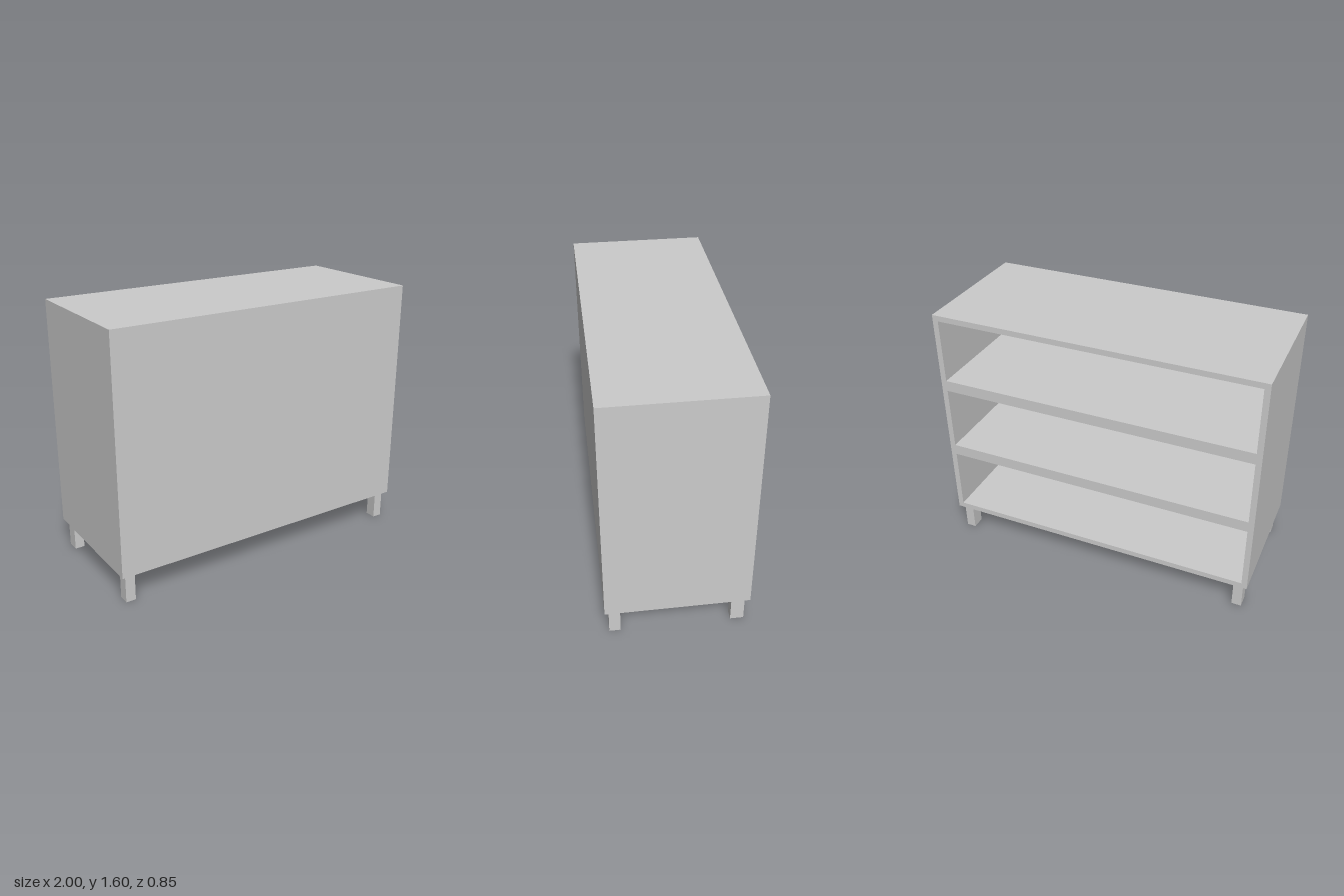
import * as THREE from 'three';

const W = 2, D = 0.85, BOTTOM = 0.175, TOP = 1.595, WALL = 0.035;

export function createModel() {
  const group = new THREE.Group();
  const material = new THREE.MeshStandardMaterial({ color: 0xcccccc, flatShading: true });

  const add = (name, geometry, x, y, z) => {
    const mesh = new THREE.Mesh(geometry, material);
    mesh.name = name;
    mesh.position.set(x, y, z);
    group.add(mesh);
  };

  const rectangle = (PathType, x, y0, y1) => new PathType([
    new THREE.Vector2(-x, y0), new THREE.Vector2(x, y0),
    new THREE.Vector2(x, y1), new THREE.Vector2(-x, y1),
  ]);

  // Cabinet body: sides, top, base and two thick shelves around three bays
  const body = rectangle(THREE.Shape, W / 2, BOTTOM, TOP);
  for (const [low, high] of [[0.21, 0.615], [0.685, 1.09], [1.16, 1.56]]) {
    body.holes.push(rectangle(THREE.Path, W / 2 - WALL, low, high));
  }
  const bodyGeometry = new THREE.ExtrudeGeometry(body, { depth: D - WALL, bevelEnabled: false });
  add('cabinetBody', bodyGeometry, 0, 0, -D / 2);

  // Closed panel across the front
  const panelHeight = TOP - BOTTOM;
  add('frontPanel', new THREE.BoxGeometry(W, panelHeight, WALL),
    0, BOTTOM + panelHeight / 2, (D - WALL) / 2);

  // Four short legs, the back pair slightly deeper
  for (const [side, x] of [['left', 0.941], ['right', -0.943]]) {
    add(side + 'FrontLeg', new THREE.BoxGeometry(0.06, BOTTOM, 0.067), x, BOTTOM / 2, 0.367);
    add(side + 'BackLeg', new THREE.BoxGeometry(0.06, BOTTOM, 0.08), x, BOTTOM / 2, -0.36);
  }

  return group;
}
